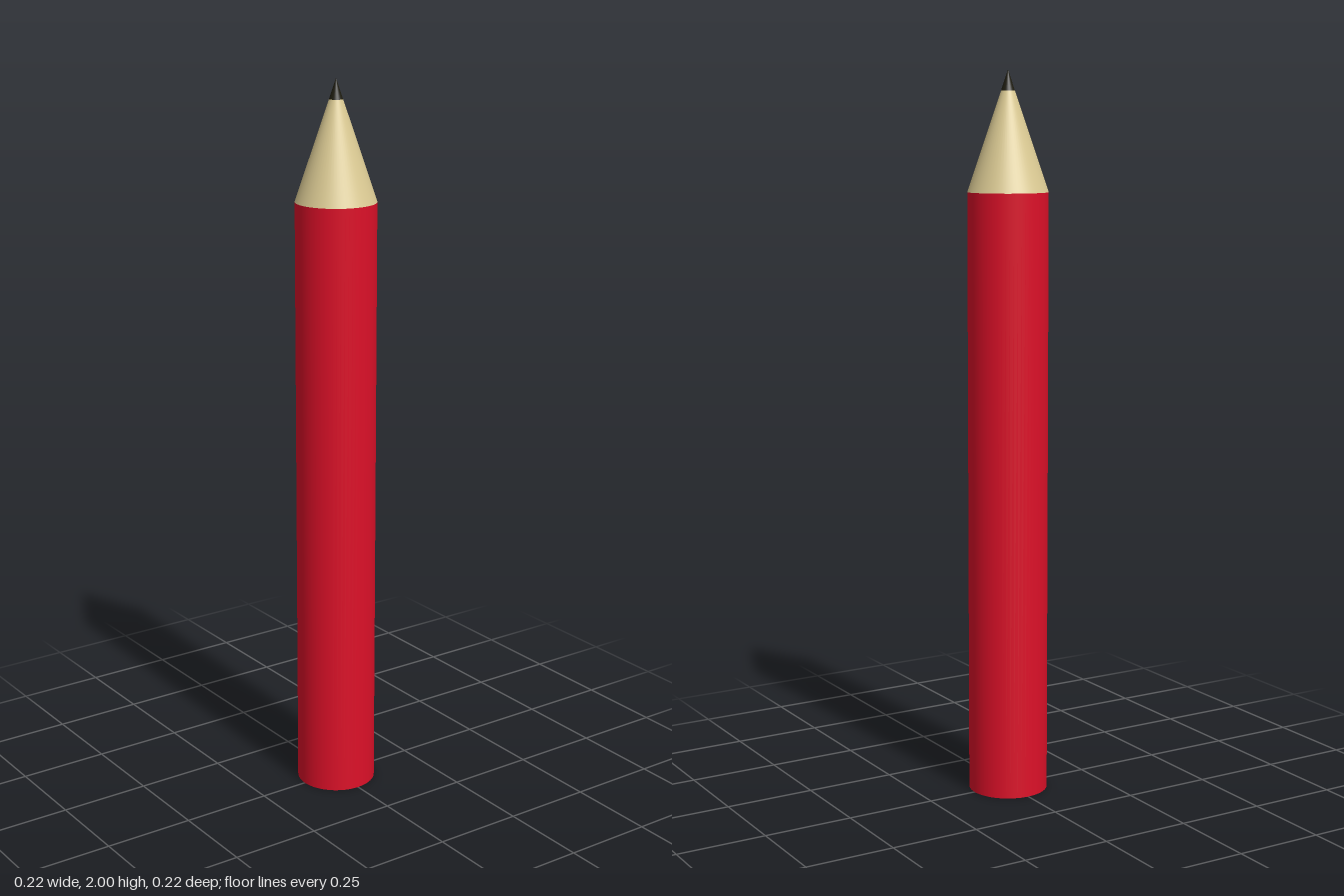
import * as THREE from 'three';

const SIDES = 64;
const RADIUS = 0.11, BODY_TOP = 1.675, LEAD_START = 1.945, TIP = 2;
const WOOD_RADIUS = 0.09, CORE_RADIUS = 0.006;

const material = (name, color) => {
  const m = new THREE.MeshStandardMaterial({ color });
  m.name = name;
  return m;
};

export function createModel() {
  const group = new THREE.Group();
  group.name = 'pencil';
  const red = material('red paint', 0xdc1028);
  const wood = material('pale wood', 0xdccb94);
  const lead = material('dark lead', 0x1e1c10);

  const add = (name, geometry, mat, y) => {
    const mesh = new THREE.Mesh(geometry, mat);
    mesh.name = name;
    mesh.position.y = y;
    group.add(mesh);
    return mesh;
  };
  // Open round section between two heights
  const section = (name, mat, r0, r1, y0, y1) =>
    add(name, new THREE.CylinderGeometry(r1, r0, y1 - y0, SIDES, 1, true), mat, (y0 + y1) / 2);
  // Flat ring on the base, facing down
  const baseRing = (name, mat, inner, outer) => {
    const geometry = inner > 0
      ? new THREE.RingGeometry(inner, outer, SIDES)
      : new THREE.CircleGeometry(outer, SIDES);
    add(name, geometry.rotateX(Math.PI / 2), mat, 0);
  };

  // Painted barrel
  section('barrel', red, RADIUS, RADIUS, 0, BODY_TOP);

  // Sharpened wood cone and lead point share one slope
  const leadRadius = RADIUS * (TIP - LEAD_START) / (TIP - BODY_TOP);
  section('sharpenedWood', wood, RADIUS, leadRadius, BODY_TOP, LEAD_START);
  section('leadPoint', lead, leadRadius, 0, LEAD_START, TIP);

  // Cut end: paint rim, wood and lead core
  baseRing('paintRim', red, WOOD_RADIUS, RADIUS);
  baseRing('woodEnd', wood, CORE_RADIUS, WOOD_RADIUS);
  baseRing('leadCore', lead, 0, CORE_RADIUS);

  return group;
}
